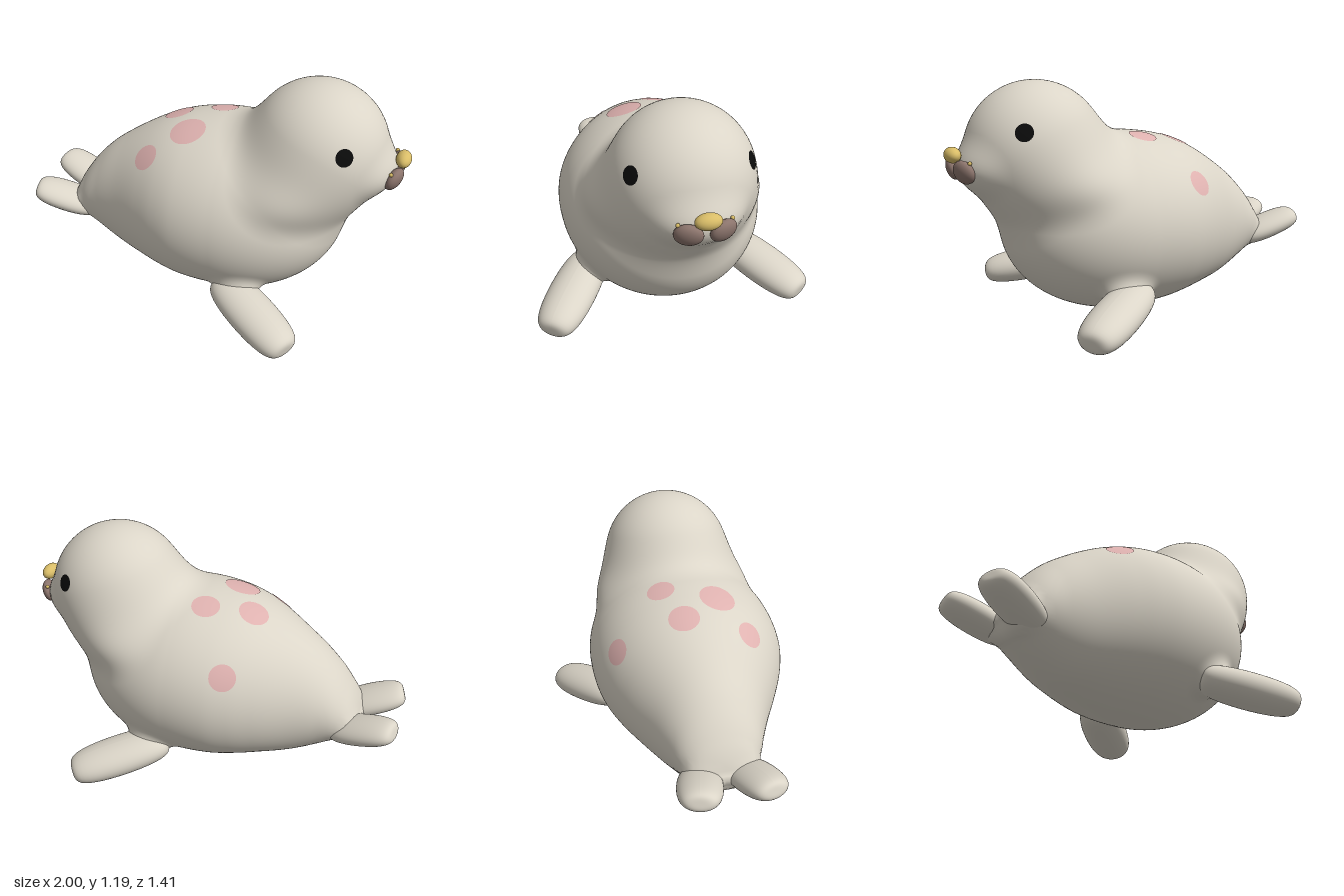
import * as THREE from 'three';

const V = (x, y, z) => new THREE.Vector3(x, y, z);
const paint = (name, color) => {
  const m = new THREE.MeshStandardMaterial({ color });
  m.name = name;
  return m;
};

// Back half of the torso: x, bottom, top, half-width
const SECTIONS = [
  [-0.8, 0.29, 0.33, 0.03], [-0.78, 0.235, 0.39, 0.12], [-0.71, 0.19, 0.51, 0.19],
  [-0.6, 0.125, 0.635, 0.245], [-0.47, 0.068, 0.735, 0.31], [-0.31, 0.035, 0.83, 0.4],
  [-0.2, 0.018, 0.875, 0.455], [-0.08, 0.004, 0.903, 0.495], [0.12, 0, 0.92, 0.51],
  [0.3, 0.022, 0.898, 0.486],
];
const torsoAt = new THREE.CubicInterpolant(
  SECTIONS.map((s) => s[0]), SECTIONS.flatMap((s) => s.slice(1)), 3);

// Volumes blended onto the torso: centre, radii, blend width (z is mirrored)
const BLOBS = [
  [[0.4, 0.68, 0], [0.3, 0.22, 0.42], 0.08],         // neck
  [[0.54, 0.84, 0], [0.35, 0.35, 0.345], 0.15],      // head
  [[0.78, 0.785, 0], [0.155, 0.12, 0.19], 0.07],     // snout
  [[0.25, 0.165, 0.395], [0.1, 0.075, 0.08], 0.08],  // front flipper roots
  [[-0.74, 0.3, 0.09], [0.08, 0.06, 0.08], 0.06],    // rear flipper roots
];

function ellipsoidDistance(x, y, z, [a, b, c]) {
  const k0 = Math.hypot(x / a, y / b, z / c);
  const k1 = Math.hypot(x / (a * a), y / (b * b), z / (c * c));
  return k1 < 1e-6 ? -Math.min(a, b, c) : (k0 * (k0 - 1)) / k1;
}

// Round chest in front, lofted sections behind
function torsoDistance(x, y, z) {
  if (x > 0.12) return ellipsoidDistance(x - 0.12, y - 0.46, z, [0.59, 0.46, 0.51]);
  const [bottom, top, width] = torsoAt.evaluate(x);
  const d = ellipsoidDistance(0, y - (bottom + top) / 2, z, [1, (top - bottom) / 2, width]);
  return Math.max(d, -0.8 - x);
}

// Smoothly blended distance to the body surface
function field(p) {
  const z = Math.abs(p.z);
  let d = torsoDistance(p.x, p.y, z);
  for (const [c, r, k] of BLOBS) {
    const e = ellipsoidDistance(p.x - c[0], p.y - c[1], z - c[2], r);
    const h = Math.max(k - Math.abs(d - e), 0);
    d = Math.min(d, e) - (h * h) / (4 * k);
  }
  return d;
}

function fieldNormal(p) {
  const e = 0.006;
  const slope = (v) => field(p.clone().add(v)) - field(p.clone().sub(v));
  return V(slope(V(e, 0, 0)), slope(V(0, e, 0)), slope(V(0, 0, e))).normalize();
}

// Point where a ray starting inside the body leaves it
function shoot(origin, dir, far) {
  let lo = 0, hi = far;
  for (let i = 0; i < 24; i++) {
    const mid = (lo + hi) / 2;
    if (field(origin.clone().addScaledVector(dir, mid)) < 0) lo = mid;
    else hi = mid;
  }
  return origin.clone().addScaledVector(dir, lo);
}

function bodyGeometry() {
  const geo = new THREE.SphereGeometry(1, 192, 128);
  const pos = geo.attributes.position, nor = geo.attributes.normal;
  const core = V(0.15, 0.5, 0);
  for (let i = 0; i < pos.count; i++) {
    const dir = V().fromBufferAttribute(pos, i).normalize();
    const p = shoot(core, dir, 1.3);
    const n = fieldNormal(p);
    pos.setXYZ(i, p.x, p.y, p.z);
    nor.setXYZ(i, n.x, n.y, n.z);
  }
  return geo;
}

// Thin round patch that follows the body surface
function patchGeometry(origin, dir, radius) {
  const centre = shoot(origin, dir, 0.6);
  const n = fieldNormal(centre);
  const u = V(0, 1, 0).cross(n).normalize();
  const v = n.clone().cross(u);
  const geo = new THREE.RingGeometry(0, radius, 32, 5);
  const pos = geo.attributes.position;
  for (let i = 0; i < pos.count; i++) {
    const start = centre.clone().addScaledVector(u, pos.getX(i))
      .addScaledVector(v, pos.getY(i)).addScaledVector(n, -0.12);
    const p = shoot(start, n, 0.3).addScaledVector(n, 0.003);
    const m = fieldNormal(p);
    pos.setXYZ(i, p.x, p.y, p.z);
    geo.attributes.normal.setXYZ(i, m.x, m.y, m.z);
  }
  return geo;
}

// Blunt paddle: its long axis follows dir and its broad side lies level
function paddleGeometry(centre, dir, radii) {
  const x = dir.clone().normalize();
  const z = x.clone().cross(V(0, 1, 0)).normalize();
  const y = z.clone().cross(x);
  const geo = new THREE.SphereGeometry(1, 48, 32);
  geo.rotateZ(-Math.PI / 2);
  const pos = geo.attributes.position;
  for (let i = 0; i < pos.count; i++) {
    const t = pos.getX(i);
    pos.setX(i, Math.sign(t) * Math.sin(Math.abs(t) * Math.PI / 2));
  }
  geo.scale(...radii);
  geo.applyMatrix4(new THREE.Matrix4().makeBasis(x, y, z).setPosition(centre));
  geo.computeVertexNormals();
  return geo;
}

export function createModel() {
  const group = new THREE.Group();
  group.name = 'seal';
  const fur = paint('fur', 0xdbd5c8);
  const pink = paint('pinkSpot', 0xdfb2b0);
  const black = paint('eyeBlack', 0x0b0b0b);
  const brown = paint('muzzleBrown', 0x8b746c);
  const gold = paint('noseGold', 0xd9bd68);

  const add = (name, geo, mat) => {
    const mesh = new THREE.Mesh(geo, mat);
    mesh.name = name;
    group.add(mesh);
    return mesh;
  };

  add('body', bodyGeometry(), fur);

  for (const s of [1, -1]) {
    const side = s > 0 ? 'Near' : 'Far';
    // Flippers
    add('frontFlipper' + side, paddleGeometry(
      V(0.365, 0.12, 0.505 * s), V(0.8, -0.2, 0.53 * s), [0.26, 0.09, 0.122]), fur);
    add('rearFlipper' + side, paddleGeometry(
      V(-0.83, 0.325, 0.135 * s), V(-0.9, 0.32, 0.22 * s), [0.175, 0.066, 0.11]), fur);

    // Face
    add('eye' + side, patchGeometry(V(0.71, 0.97, 0), V(0, 0, s), 0.043), black);
    const pad = add('muzzlePad' + side, new THREE.SphereGeometry(1, 32, 24), brown);
    pad.scale.set(0.034, 0.058, 0.066);
    pad.position.set(0.93, 0.78, 0.077 * s);
    pad.rotation.set(0, -0.35 * s, -0.3);
    const stud = add('whiskerStud' + side, new THREE.SphereGeometry(0.01, 12, 8), gold);
    stud.position.set(0.916, 0.826, 0.12 * s);
  }

  const nose = add('nose', new THREE.SphereGeometry(1, 32, 24), gold);
  nose.scale.set(0.038, 0.038, 0.061);
  nose.position.set(0.957, 0.853, 0);

  // Spots on the back: x, z, radius
  const spots = [
    [-0.165, -0.4, 0.067], [-0.22, -0.07, 0.078], [0.01, -0.14, 0.072],
    [-0.1, 0.13, 0.094], [-0.285, 0.25, 0.07],
  ];
  spots.forEach(([x, z, r], i) => {
    add('backSpot' + (i + 1), patchGeometry(V(x, 0.45, z), V(0, 1, 0), r), pink);
  });

  return group;
}
